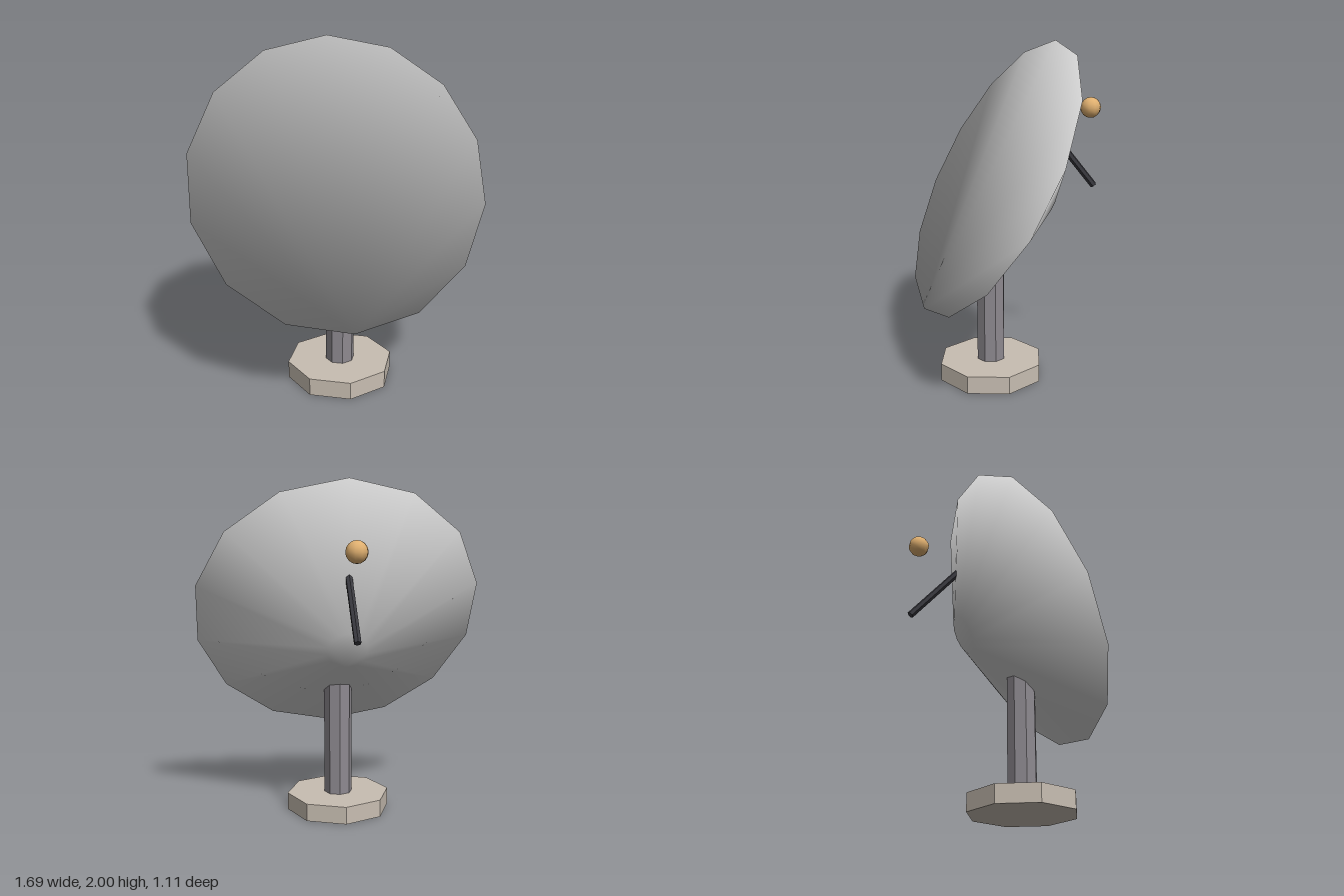
import * as THREE from 'three';

const AXIS_Z = 0.148; // mast line
const TILT = 1.079;   // dish axis, leaning from up towards the front

function part(name, geometry, color, flatShading = false) {
  const mesh = new THREE.Mesh(geometry, new THREE.MeshStandardMaterial({ color, flatShading }));
  mesh.name = name;
  return mesh;
}

// Solid frustum whose two rings share smooth normals with their flat ends.
// Each ring: [radius, height, radial normal, axial normal]
function smoothFrustum(rings, sides) {
  const positions = [], normals = [], index = [];
  for (const [r, y, nr, ny] of rings) {
    for (let i = 0; i < sides; i++) {
      const t = (i / sides) * Math.PI * 2, s = Math.sin(t), c = Math.cos(t);
      positions.push(r * s, y, r * c);
      normals.push(nr * s, ny, nr * c);
    }
  }
  for (let i = 0; i < sides; i++) {
    const j = (i + 1) % sides;
    index.push(i, sides + i, sides + j, i, sides + j, j);
    if (i > 0 && j > 0) index.push(0, i, j, sides, sides + j, sides + i);
  }
  const g = new THREE.BufferGeometry();
  g.setAttribute('position', new THREE.Float32BufferAttribute(positions, 3));
  g.setAttribute('normal', new THREE.Float32BufferAttribute(normals, 3));
  g.setIndex(index);
  return g;
}

// Cylinder between two points
function rod(name, from, to, radius, sides, color) {
  const dir = to.clone().sub(from);
  const mesh = part(name, new THREE.CylinderGeometry(radius, radius, dir.length(), sides), color, true);
  mesh.position.copy(from).add(to).multiplyScalar(0.5);
  mesh.quaternion.setFromUnitVectors(new THREE.Vector3(0, 1, 0), dir.normalize());
  return mesh;
}

export function createModel() {
  const model = new THREE.Group();
  model.name = 'dishAntenna';

  // Octagonal foot and mast
  const base = part('base', new THREE.CylinderGeometry(0.317, 0.317, 0.105, 8), 0xc8beb2, true);
  base.position.set(0, 0.0525, AXIS_Z);
  const mast = rod('mast', new THREE.Vector3(0, 0.1, AXIS_Z), new THREE.Vector3(0, 0.95, AXIS_Z), 0.086, 8, 0x8e8a90);

  // Tilted dish: flat 14-sided face in front, tapering to a small flat back
  const dish = part('dish', smoothFrustum([
    [0.868, 0, 0.975, 0.223],
    [0.117, -0.403, 0.243, -0.97],
  ], 14), 0xd8d8d4);
  dish.position.set(0, 1.235, 0.15);
  dish.rotation.x = TILT;

  // Feed arm reaching out behind the dish, and the feed ball above it
  const arm = rod('feedArm', new THREE.Vector3(0, 1.52, -0.197), new THREE.Vector3(0, 1.13, -0.525), 0.021, 6, 0x3a3a40);
  const feed = part('feedBall', new THREE.SphereGeometry(0.062, 10, 8), 0xe0b070);
  feed.position.set(0, 1.605, -0.495);

  model.add(base, mast, dish, arm, feed);
  return model;
}
